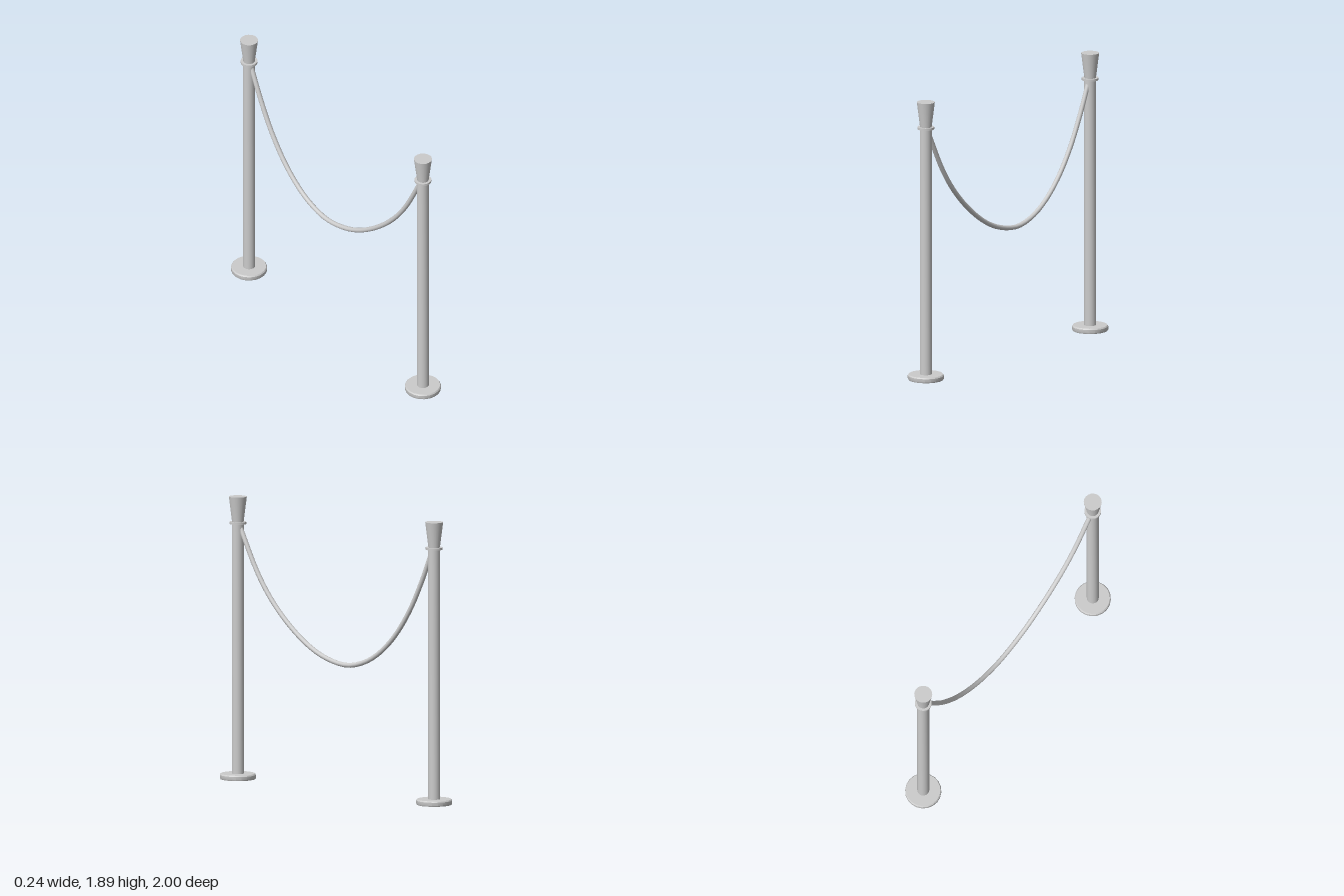
import * as THREE from 'three';
import { toCreasedNormals } from 'three/addons/utils/BufferGeometryUtils.js';

const POST_Z = 0.88;
const material = new THREE.MeshStandardMaterial({ color: 0xcccccc });

function addPart(parent, name, geometry) {
  const mesh = new THREE.Mesh(geometry, material);
  mesh.name = name;
  parent.add(mesh);
  return mesh;
}

// Turned solid from [radius, height] pairs, bottom to top
function turned(profile, sides) {
  const points = profile.map(([r, y]) => new THREE.Vector2(r, y));
  return toCreasedNormals(new THREE.LatheGeometry(points, sides), 0.5);
}

function createPost(name) {
  const post = new THREE.Group();
  post.name = name;

  // Round foot with a small bevel on its top rim
  addPart(post, 'base', turned([[0, 0], [0.117, 0], [0.12, 0.006], [0.12, 0.028], [0.114, 0.036], [0, 0.036]], 20));
  // Straight shaft
  addPart(post, 'shaft', turned([[0, 0.03], [0.04, 0.03], [0.04, 1.715], [0, 1.715]], 20));
  // Thin ring under the head
  addPart(post, 'collar', turned([[0, 1.706], [0.056, 1.706], [0.056, 1.721], [0, 1.721]], 20));
  // Flared head
  addPart(post, 'head', turned([[0, 1.715], [0.038, 1.715], [0.06, 1.89], [0, 1.89]], 20));
  return post;
}

export function createModel() {
  const model = new THREE.Group();
  model.name = 'ropeBarrier';

  for (const side of [1, -1]) {
    const post = createPost(side > 0 ? 'frontPost' : 'backPost');
    post.position.z = side * POST_Z;
    model.add(post);
  }

  // Rope sagging between the shafts, lowest a little behind the middle: [z, y]
  const sag = [
    [0.86, 1.69], [0.705, 1.4], [0.58, 1.23], [0.426, 1.08], [0.25, 0.955],
    [0.09, 0.885], [-0.1, 0.855], [-0.26, 0.893], [-0.394, 0.97],
    [-0.528, 1.094], [-0.66, 1.275], [-0.77, 1.484], [-0.86, 1.69],
  ];
  const path = new THREE.CatmullRomCurve3(sag.map(([z, y]) => new THREE.Vector3(0, y, z)));
  addPart(model, 'rope', new THREE.TubeGeometry(path, 48, 0.016, 12));

  return model;
}
